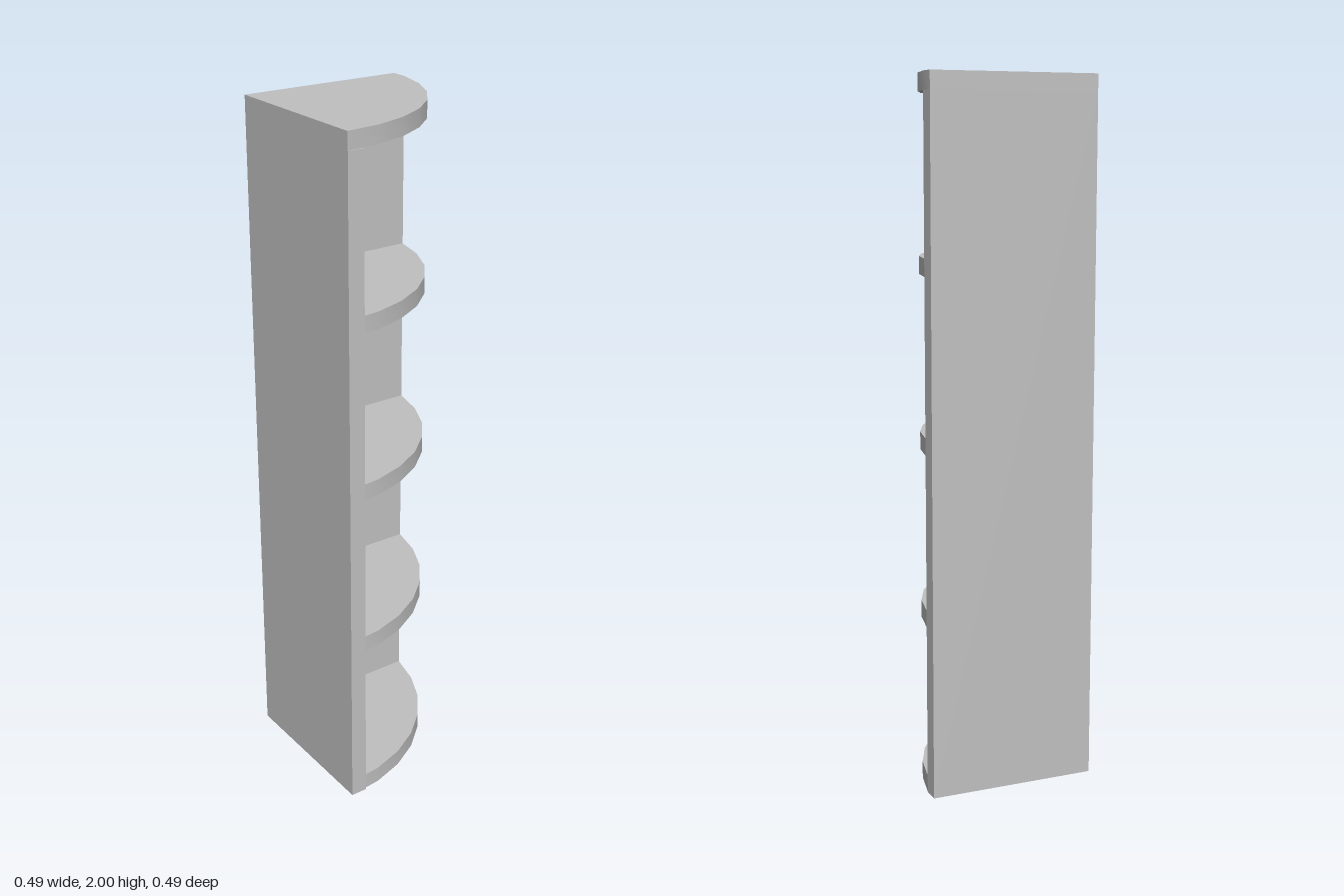
import * as THREE from 'three';
import { toCreasedNormals } from 'three/addons/utils/BufferGeometryUtils.js';

const HALF = 0.244;      // half of the footprint
const T = 0.049;         // board thickness
const INNER = -HALF + T; // inside face of both panels
const HEIGHT = 2;

// Quarter-round front edge, from the right end round to the front end
function arcPoints() {
  const points = [];
  const start = THREE.MathUtils.degToRad(7);
  for (let i = 0; i <= 7; i++) {
    const a = start + (Math.PI / 2 - start) * i / 7;
    points.push(new THREE.Vector2(-HALF + 0.4915 * Math.cos(a), -0.256 + 0.499 * Math.sin(a)));
  }
  return points;
}

// Horizontal board with a curved front; corner is its back left point
function boardGeometry(corner, points) {
  const shape = new THREE.Shape([new THREE.Vector2(corner, corner), new THREE.Vector2(HALF, corner), ...points]);
  const geometry = new THREE.ExtrudeGeometry(shape, { depth: T, bevelEnabled: false });
  geometry.rotateX(Math.PI / 2).translate(0, T, 0);
  return toCreasedNormals(geometry, 0.5);
}

export function createModel() {
  const group = new THREE.Group();
  group.name = 'cornerShelf';
  const grey = new THREE.MeshStandardMaterial({ color: 0xc0c0c0 });
  grey.name = 'grey';

  const add = (name, geometry, x, y, z) => {
    const mesh = new THREE.Mesh(geometry, grey);
    mesh.name = name;
    mesh.position.set(x, y, z);
    group.add(mesh);
  };

  // Two upright panels meeting at the back corner
  const h = HEIGHT - T;
  add('backPanel', new THREE.BoxGeometry(2 * HALF, h, T), 0, h / 2, -HALF + T / 2);
  add('sidePanel', new THREE.BoxGeometry(T, h, 2 * HALF - T), -HALF + T / 2, h / 2, T / 2);

  // Top board covers the panels
  const outer = arcPoints();
  add('topBoard', boardGeometry(-HALF, outer), 0, h, 0);

  // Shelves sit between the panels, so the curve stops at the side panel
  const inner = arcPoints();
  const [before, last] = inner.slice(-2);
  last.lerpVectors(before, last.clone(), (INNER - before.x) / (last.x - before.x));
  const shelf = boardGeometry(INNER, inner);
  for (let i = 0; i < 4; i++) add(i ? 'shelf' + i : 'bottomBoard', shelf, 0, h * i / 4, 0);

  return group;
}
